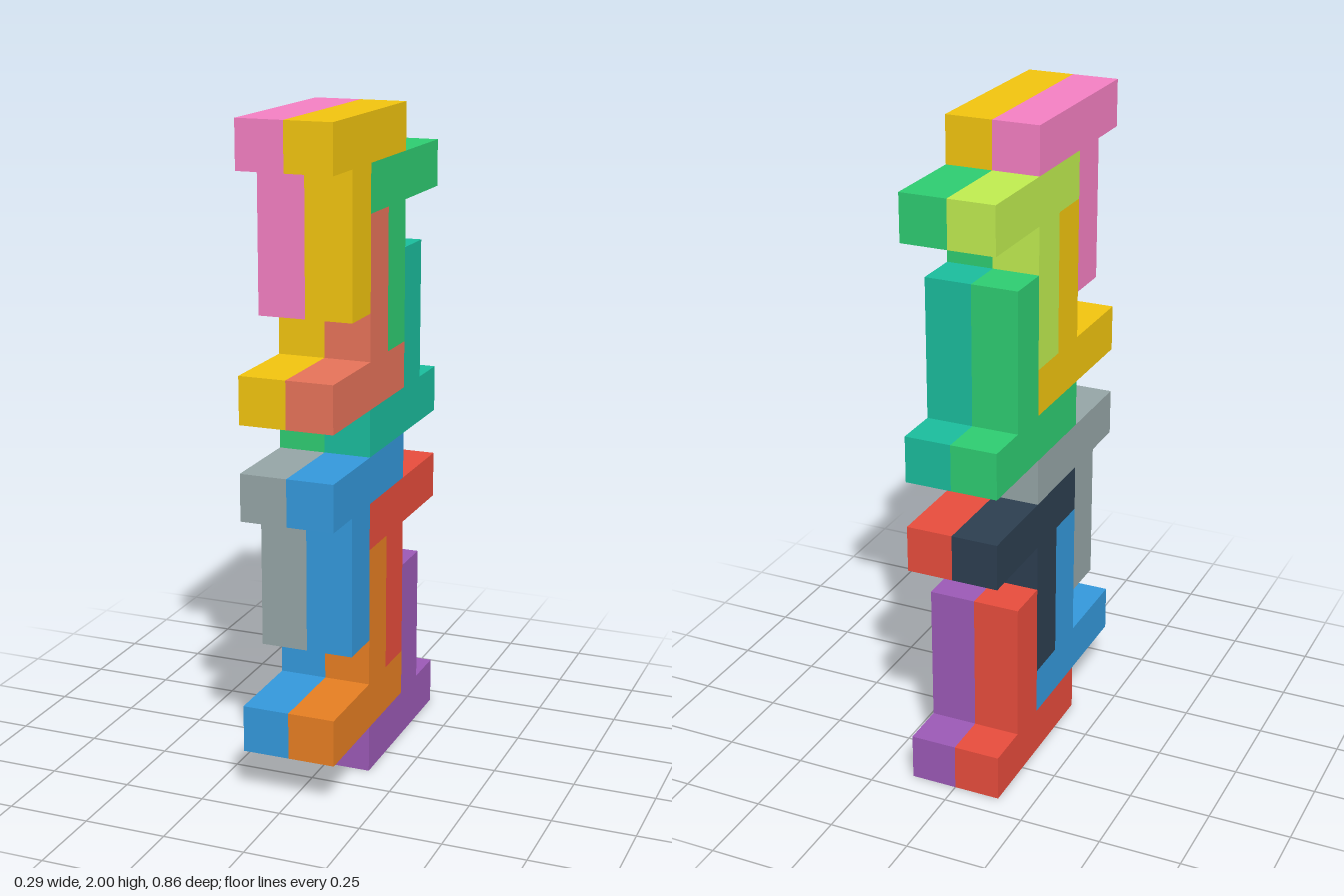
import * as THREE from 'three';

const U = 2 / 14; // one cell of the puzzle

// Flat T-like piece: a bar four cells long and a three-cell stem going up or down.
function pieceGeometry(barZ, barY, stemZ, dir) {
  const inner = dir > 0 ? barY + 1 : barY; // bar edge the stem grows from
  const outer = dir > 0 ? barY : barY + 1;
  const tip = inner + 3 * dir;
  const points = [
    [barZ, outer], [barZ + 4, outer], [barZ + 4, inner],
    [stemZ + 1, inner], [stemZ + 1, tip], [stemZ, tip], [stemZ, inner], [barZ, inner],
  ].map(([z, y]) => new THREE.Vector2(z * U, y * U));
  const geometry = new THREE.ExtrudeGeometry(new THREE.Shape(points), { depth: U, bevelEnabled: false });
  return geometry.rotateY(-Math.PI / 2); // profile into the z-y plane, thickness over x = -U..0
}

// Interlocking pieces of one tier: bar start z, bar y, stem z, stem direction
const TIER = [
  { name: 'topFrontPiece', shape: [-1, 6, 1, -1] },
  { name: 'topBackPiece', shape: [-3, 5, -1, -1] },
  { name: 'bottomFrontPiece', shape: [-1, 1, 0, 1] },
  { name: 'bottomBackPiece', shape: [-3, 0, -2, 1] },
];

const YELLOW = 0xf1c40f, GREEN = 0x2ecc71, BLUE = 0x3498db, RED = 0xe74c3c;

// Colours per tier and layer, in the order of TIER
const COLORS = {
  lower: {
    left: [BLUE, RED, 0xe67e22, 0x9b59b6],
    right: [0x95a5a6, 0x2c3e50, BLUE, RED],
  },
  upper: {
    left: [YELLOW, GREEN, 0xe67359, 0x1abc9c],
    right: [0xf47fc2, 0xbfec50, YELLOW, GREEN],
  },
};

export function createModel() {
  const model = new THREE.Group();
  model.name = 'interlockingTower';
  ['lower', 'upper'].forEach((tierName, tier) => {
    const tierGroup = new THREE.Group();
    tierGroup.name = `${tierName}Tier`;
    tierGroup.position.y = tier * 7 * U;
    for (const side of ['left', 'right']) {
      const layer = new THREE.Group();
      layer.name = `${side}Layer`;
      layer.position.x = side === 'left' ? U : 0;
      TIER.forEach(({ name, shape }, i) => {
        const material = new THREE.MeshStandardMaterial({ color: COLORS[tierName][side][i] });
        const piece = new THREE.Mesh(pieceGeometry(...shape), material);
        piece.name = name;
        layer.add(piece);
      });
      tierGroup.add(layer);
    }
    model.add(tierGroup);
  });
  return model;
}
